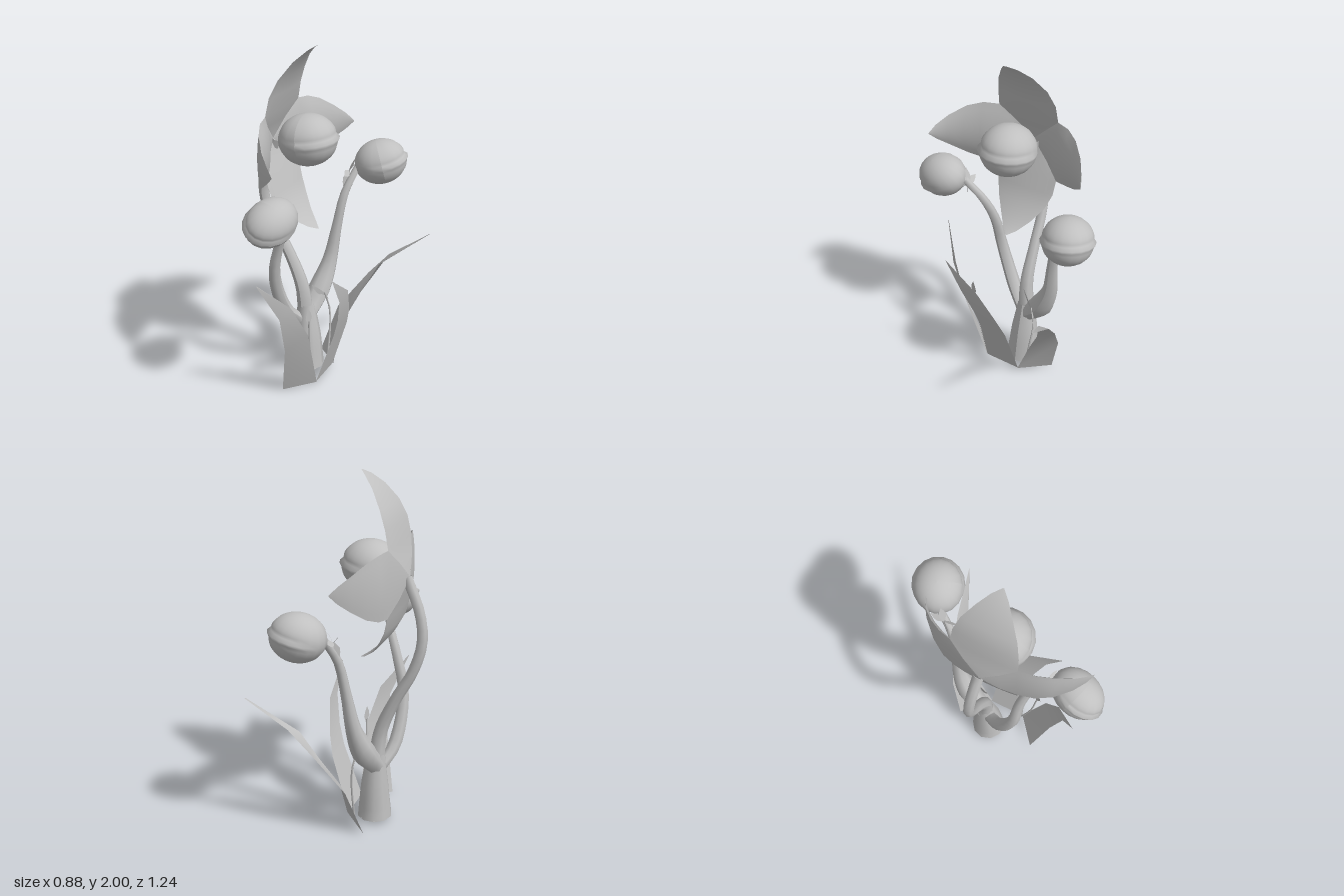
import * as THREE from 'three';

const V = (p) => new THREE.Vector3(...p);

export function createModel() {
  const group = new THREE.Group();
  const grey = new THREE.MeshStandardMaterial({ color: 0xc0c0c0, side: THREE.DoubleSide });
  grey.name = 'plain grey';

  const add = (geometry, name) => {
    const mesh = new THREE.Mesh(geometry, grey);
    mesh.name = name;
    group.add(mesh);
    return mesh;
  };

  // Surface through rows of points, all rows of equal length
  const sheet = (rows, name) => {
    const w = rows[0].length, index = [];
    for (let i = 0; i < rows.length - 1; i++) {
      for (let j = 0; j < w - 1; j++) {
        const a = i * w + j, b = a + w;
        index.push(a, a + 1, b, b, a + 1, b + 1);
      }
    }
    const g = new THREE.BufferGeometry();
    g.setAttribute('position', new THREE.Float32BufferAttribute(rows.flat(2), 3));
    g.setIndex(index);
    g.computeVertexNormals();
    return add(g, name);
  };

  // Tapered tube: radii are spread evenly along the path
  const stalk = (points, radii, name, sides = 8, steps = 16) => {
    const curve = new THREE.CatmullRomCurve3(points.map(V));
    const g = new THREE.TubeGeometry(curve, steps, 1, sides);
    const pos = g.attributes.position, v = new THREE.Vector3();
    for (let k = 0; k < pos.count; k++) {
      const t = Math.floor(k / (sides + 1)) / steps;
      const f = t * (radii.length - 1), i = Math.min(Math.floor(f), radii.length - 2);
      const r = THREE.MathUtils.lerp(radii[i], radii[i + 1], f - i);
      const c = curve.getPointAt(t);
      v.fromBufferAttribute(pos, k).sub(c).multiplyScalar(r).add(c);
      pos.setXYZ(k, v.x, v.y, v.z);
    }
    g.computeVertexNormals();
    return add(g, name);
  };

  // Trunk and its three branches
  stalk([[-0.16, 0.02, -0.05], [-0.16, 0.2, -0.055], [-0.17, 0.42, -0.06]], [0.1, 0.08, 0.05], 'trunk', 10, 6);
  const base = add(new THREE.CircleGeometry(0.1, 10), 'trunkBase');
  base.rotation.x = Math.PI / 2;
  base.position.set(-0.16, 0.02, -0.05);
  stalk([[-0.17, 0.34, -0.06], [-0.19, 0.55, -0.045], [-0.27, 0.75, -0.04], [-0.365, 0.93, -0.03], [-0.41, 1.1, -0.02],
    [-0.39, 1.26, -0.01], [-0.31, 1.45, 0]], [0.05, 0.04, 0.033, 0.03, 0.03, 0.03, 0.03], 'flowerStem', 8, 20);
  stalk([[-0.18, 0.31, -0.04], [-0.235, 0.42, 0.06], [-0.25, 0.7, 0.165], [-0.2, 0.92, 0.185], [-0.14, 1.08, 0.23],
    [-0.1, 1.19, 0.32]], [0.035, 0.04, 0.035, 0.03, 0.025, 0.02], 'leftBudStem');
  stalk([[-0.17, 0.34, -0.06], [-0.145, 0.45, -0.165], [-0.11, 0.62, -0.245], [-0.075, 0.86, -0.28],
    [-0.045, 1.05, -0.315], [0, 1.2, -0.4]], [0.055, 0.068, 0.042, 0.03, 0.025, 0.02], 'rightBudStem');

  // Lens-shaped petals: rows of [distance from centre, half width, x], bulging forward and back in the middle
  const petal = (length, angle, front, back, name) => {
    const profile = [[0, 0.002, -0.325], [0.1, 0.1, -0.3], [0.185, 0.185, -0.265], [0.285, 0.178, -0.245],
      [0.38, 0.15, -0.205], [0.47, 0.095, -0.145], [0.525, 0.045, -0.088], [0.55, 0.004, -0.05]];
    const layer = (bulge, part) => sheet(profile.map(([r, w, x], i) => {
      const d = r <= 0.185 ? r : 0.185 + (r - 0.185) * (length - 0.185) / 0.365;
      const k = bulge * Math.min(1, i / 3) * w / 0.178;
      const row = [];
      for (let j = -4; j <= 4; j++) {
        const s = j / 4 * w;
        row.push([x + k * (1 - j * j / 16), 1.45 + d * Math.cos(angle) - s * Math.sin(angle),
          0.01 + d * Math.sin(angle) + s * Math.cos(angle)]);
      }
      return row;
    }), name + part);
    layer(front, 'Front');
    layer(-back, 'Back');
  };
  petal(0.55, 0, 0.014, 0.012, 'topPetal');
  petal(0.51, Math.PI / 2, 0.04, 0.015, 'leftPetal');
  petal(0.49, Math.PI, 0.014, 0.012, 'bottomPetal');
  petal(0.45, -Math.PI / 2, 0.04, 0.015, 'rightPetal');

  // Round bodies with a lip and a groove around the forward half
  const bulb = (center, radii, forward, up, name) => {
    const g = new THREE.SphereGeometry(1, 18, 24);
    const pos = g.attributes.position, v = new THREE.Vector3();
    for (let k = 0; k < pos.count; k++) {
      v.fromBufferAttribute(pos, k);
      const front = THREE.MathUtils.smoothstep(v.z, -0.5, 0.3);
      const lip = Math.exp(-((v.y / 0.08) ** 2)), groove = Math.exp(-(((v.y - 0.16) / 0.08) ** 2));
      v.multiplyScalar(1 + front * (0.07 * lip - 0.05 * groove));
      pos.setXYZ(k, v.x * radii[0], v.y * radii[1], v.z * radii[2]);
    }
    g.computeVertexNormals();
    const z = V(forward).normalize(), x = V(up).cross(z).normalize(), y = z.clone().cross(x);
    const mesh = add(g, name);
    mesh.quaternion.setFromRotationMatrix(new THREE.Matrix4().makeBasis(x, y, z));
    mesh.position.set(...center);
  };
  bulb([-0.1, 1.485, 0.03], [0.155, 0.142, 0.163], [1, 0.12, 0], [0, 1, 0], 'flowerCentre');
  bulb([-0.09, 1.18, 0.465], [0.125, 0.12, 0.157], [-0.25, -0.25, 0.9], [0.4, 0.9, 0.4], 'leftBud');
  bulb([0.11, 1.22, -0.47], [0.14, 0.13, 0.152], [0.85, 0.25, -0.45], [0, 1, 0], 'rightBud');

  // Leaf blades between two edges, each running from base to tip
  const leaf = (a, b, name) => sheet(a.map((p, i) => [p, b[i]]), name);
  leaf([[-0.165, 0, 0.25], [-0.095, 0.33, 0.34], [-0.085, 0.57, 0.41], [-0.17, 0.8, 0.5]],
    [[-0.01, 0.02, 0.12], [0.01, 0.42, 0.26], [-0.04, 0.63, 0.36], [-0.17, 0.805, 0.498]], 'leftLeaf');
  leaf([[-0.015, 0.02, 0.12], [0.09, 0.35, 0.1], [0.125, 0.47, 0.12], [0.163, 0.63, 0.18], [0.167, 0.81, 0.28]],
    [[-0.015, 0.02, -0.1], [0.09, 0.35, -0.075], [0.125, 0.47, -0.03], [0.163, 0.65, 0.07], [0.167, 0.805, 0.275]],
    'middleLeaf');
  leaf([[-0.165, 0, -0.25], [-0.09, 0.28, -0.33], [0.08, 0.52, -0.4], [0.2, 0.66, -0.428], [0.435, 0.825, -0.465]],
    [[-0.01, 0.02, -0.1], [0, 0.25, -0.19], [0.08, 0.44, -0.285], [0.17, 0.62, -0.345], [0.43, 0.825, -0.46]],
    'rightLeaf');

  // Small pointed blade, used for sepals and shoots
  const blade = (from, to, side, name) => {
    const a = V(from), b = V(to), s = V(side);
    const rows = [[0, 0.3], [0.4, 1], [0.7, 0.7], [1, 0.02]].map(([t, w]) =>
      [-w, w].map((k) => a.clone().lerp(b, t).addScaledVector(s, k).toArray()));
    sheet(rows, name);
  };
  for (const [x, y, z] of [[-0.08, 0.02, 0.0], [0.08, 0.0, 0.01], [0.03, -0.09, -0.02], [-0.03, 0.08, 0.03]]) {
    blade([-0.1, 1.17, 0.3], [-0.1 + x, 1.17 + y, 0.3 + z], [y * 0.2, -x * 0.2, 0.014], 'leftSepal');
    blade([-0.04, 1.17, -0.36], [-0.04 + z, 1.17 + y, -0.36 + x], [0.014, -x * 0.2, y * 0.2], 'rightSepal');
  }

  // Two thin shoots with small leaves
  stalk([[-0.02, 0.02, 0.12], [-0.02, 0.25, 0.18], [-0.01, 0.48, 0.21]], [0.005, 0.005, 0.005], 'leftShoot', 5, 8);
  blade([-0.01, 0.46, 0.21], [-0.01, 0.56, 0.215], [0.008, 0, -0.022], 'leftShootLeaf');
  stalk([[-0.06, 0.02, -0.12], [-0.06, 0.25, -0.16], [-0.07, 0.36, -0.17], [-0.09, 0.47, -0.14]],
    [0.006, 0.006, 0.005], 'rightShoot', 5, 8);
  blade([-0.08, 0.42, -0.16], [-0.13, 0.55, -0.06], [0.015, -0.01, -0.025], 'rightShootLeaf');

  return group;
}
